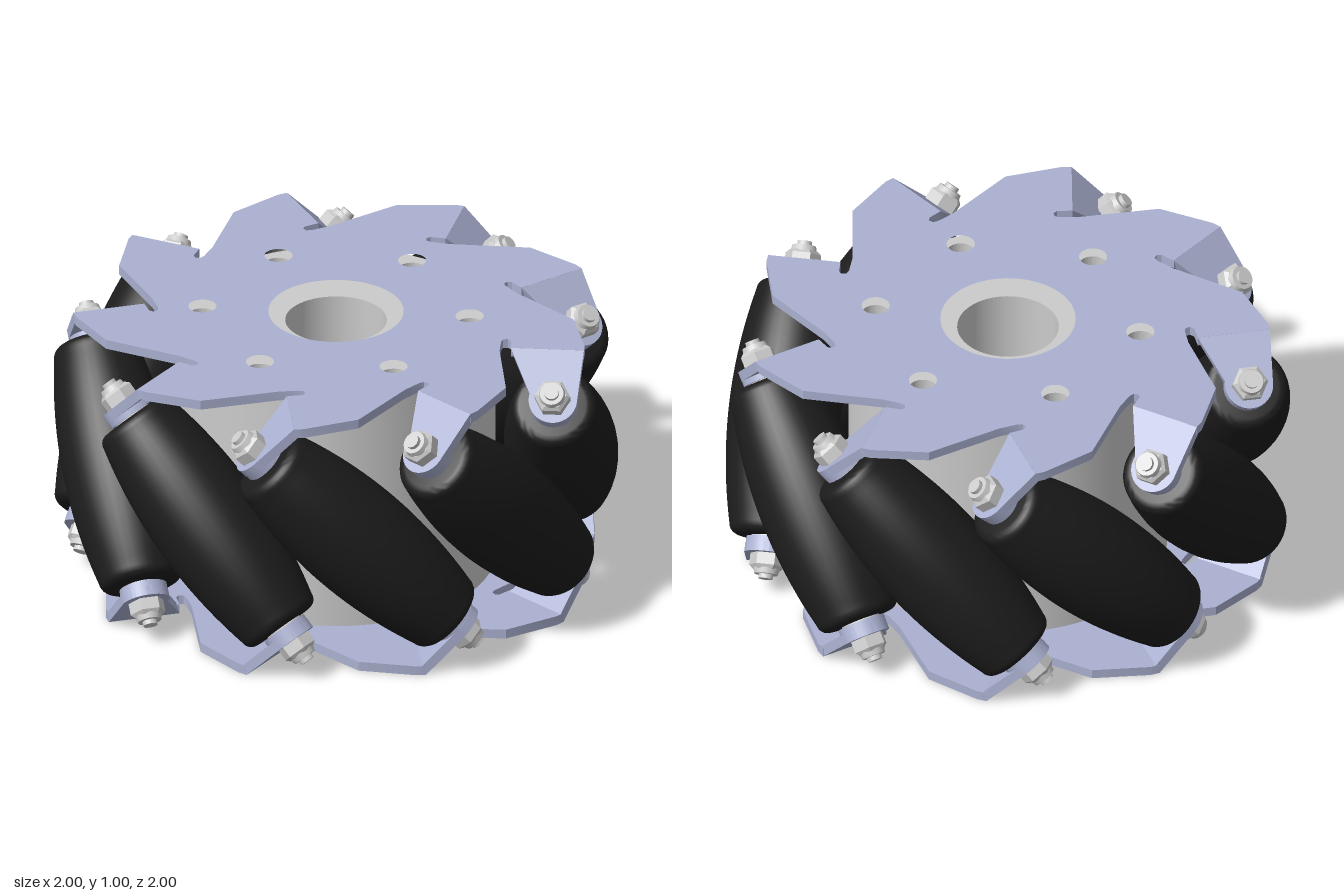
import * as THREE from 'three';
import { toCreasedNormals } from 'three/addons/utils/BufferGeometryUtils.js';

const COUNT = 9;            // rollers around the wheel
const AXLE_R = 0.8;         // distance of roller axles from the wheel axis
const T = 0.035;            // sheet thickness
const STEP = (Math.PI * 2) / COUNT;
const FIRST = Math.PI / 18;

const mat = (color) => new THREE.MeshStandardMaterial({ color });
const sheetMat = mat(0xaab0d0);
const rubberMat = mat(0x1c1c1c);
const steelMat = mat(0xcccccc);
const nutMat = mat(0xcccccc);
nutMat.flatShading = true;

function mesh(name, geometry, material) {
  const m = new THREE.Mesh(geometry, material);
  m.name = name;
  return m;
}

// Extrude a shape drawn in plan (shape y = -z) upward from y0 by height
function slab(shape, y0, height) {
  const g = new THREE.ExtrudeGeometry(shape, { depth: height, bevelEnabled: false, curveSegments: 32 });
  g.rotateX(-Math.PI / 2).translate(0, y0, 0);
  return toCreasedNormals(g, 0.5);
}

function circleHole(x, y, r) {
  const p = new THREE.Path();
  p.absarc(x, y, r, 0, Math.PI * 2, true);
  return p;
}

// Centre bore and six bolt holes
function addHoles(shape, bore) {
  shape.holes.push(circleHole(0, 0, bore));
  for (let i = 0; i < 6; i++) {
    const a = (i * Math.PI) / 3;
    shape.holes.push(circleHole(0.475 * Math.cos(a), 0.475 * Math.sin(a), 0.05));
  }
}

// Star-shaped side plate: one [radial, tangential] outline repeated per roller
function plateGeometry() {
  const sector = [
    [0.845, 0], [0.9, 0.2], [0.9, 0.235], [0.64, 0.235],
    [0.637, 0.18], [0.625, 0.168], [0.608, 0.172], [0.602, 0.19], [0.602, 0.26],
  ];
  const pts = [];
  for (let k = 0; k < COUNT; k++) {
    const a = FIRST - k * STEP;
    const c = Math.cos(a), s = Math.sin(a);
    for (const [v, u] of sector) pts.push(new THREE.Vector2(v * s - u * c, -(v * c + u * s)));
  }
  const shape = new THREE.Shape(pts);
  addHoles(shape, 0.24);
  return slab(shape, 0.5 - T, T);
}

// Bent tab that holds the axle, square to it
function tabGeometry() {
  const s = new THREE.Shape();
  s.moveTo(0.187, 0.16);
  s.lineTo(0.02, 0.084);
  s.absarc(0, 0, 0.086, Math.PI / 2 - 0.23, Math.PI * 1.5, false);
  s.lineTo(0.187, -0.1);
  s.closePath();
  s.holes.push(circleHole(0, 0, 0.03));
  return slab(s, 0.485, T);
}

// Barrel whose outer edge follows the rim circle of radius 1
function rollerGeometry() {
  const half = [];
  for (let i = 0; i <= 12; i++) {
    const s = (i / 12) * 0.385;
    const d = Math.hypot(AXLE_R, s * Math.SQRT1_2);
    const t = (s * Math.SQRT1_2) / d;
    half.push([(1 - d) * Math.sqrt(1 - t * t / 2), s + (1 - d) * t * Math.SQRT1_2]);
  }
  // rounded shoulder and end face
  const [r, y] = half[half.length - 1];
  for (let i = 1; i <= 5; i++) {
    const a = (i / 5) * Math.PI / 2;
    half.push([r - 0.038 * (1 - Math.cos(a)), y + 0.038 * Math.sin(a)]);
  }
  half.push([0, y + 0.038]);
  const lower = half.slice(1).reverse().map(([px, py]) => [px, -py]);
  const profile = [...lower, ...half].map(([px, py]) => new THREE.Vector2(px, py));
  return toCreasedNormals(new THREE.LatheGeometry(profile, 40), 0.8);
}

// Disc or prism along the axle from s0 to s1
function disc(r0, r1, s0, s1, sides) {
  return new THREE.CylinderGeometry(r1, r0, s1 - s0, sides).translate(0, (s0 + s1) / 2, 0);
}

export function createModel() {
  const wheel = new THREE.Group();
  wheel.name = 'wheel';
  const body = new THREE.Group();
  body.name = 'wheelBody';
  body.position.y = 0.5;
  wheel.add(body);

  // Drum between the plates
  const ring = new THREE.Shape();
  ring.absarc(0, 0, 0.565, 0, Math.PI * 2, false);
  addHoles(ring, 0.18);
  body.add(mesh('drum', slab(ring, T - 0.5, 1 - 2 * T), steelMat));

  // Place a tilted axle frame (local y along the axle) at every roller position
  const axleFrames = (name, parent, fill) => {
    for (let k = 0; k < COUNT; k++) {
      const spoke = new THREE.Group();
      spoke.name = name;
      spoke.rotation.y = FIRST + k * STEP;
      const axle = new THREE.Group();
      axle.name = name + 'Axle';
      axle.position.z = AXLE_R;
      axle.rotation.z = Math.PI / 4;
      fill(axle);
      spoke.add(axle);
      parent.add(spoke);
    }
  };

  // Rollers
  const rollerGeo = rollerGeometry();
  axleFrames('rollerMount', body, (axle) => axle.add(mesh('roller', rollerGeo, rubberMat)));

  // One side: plate, tabs, washers and nuts
  const side = new THREE.Group();
  side.name = 'upperSide';
  side.add(mesh('sidePlate', plateGeometry(), sheetMat));
  const fittings = [
    ['tab', tabGeometry(), sheetMat],
    ['spacer', disc(0.07, 0.07, 0.44, 0.466, 28), steelMat],
    ['washer', disc(0.085, 0.085, 0.464, 0.485, 28), sheetMat],
    ['nut', disc(0.064, 0.064, 0.52, 0.562, 6), nutMat],
    ['nutChamfer', disc(0.064, 0.05, 0.562, 0.575, 6), nutMat],
    ['nutCollar', disc(0.048, 0.042, 0.57, 0.592, 24), steelMat],
    ['boltEnd', disc(0.03, 0.026, 0.46, 0.608, 20), steelMat],
  ];
  axleFrames('bracket', side, (axle) => {
    for (const [name, geo, material] of fittings) axle.add(mesh(name, geo, material));
  });
  body.add(side);

  // The other side is the same assembly turned over
  const lower = side.clone();
  lower.name = 'lowerSide';
  lower.rotation.x = Math.PI;
  body.add(lower);

  return wheel;
}
